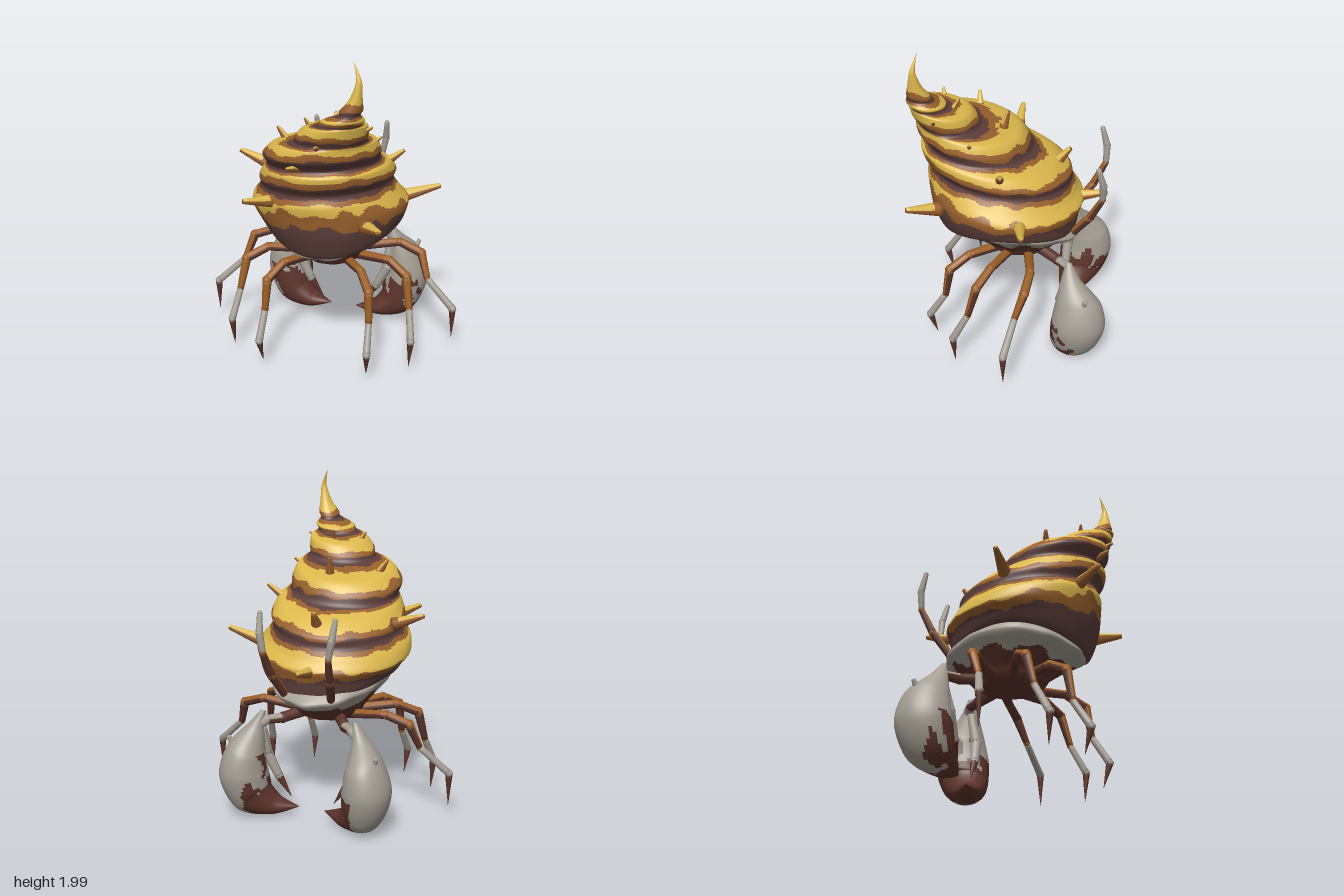
import * as THREE from 'three';

const mat = (name, color) => {
  const m = new THREE.MeshStandardMaterial({ color });
  m.name = name;
  return m;
};
const M = {
  yellow: mat('shell yellow', 0xdcb84c),
  brown: mat('shell brown', 0x98602c),
  dark: mat('groove dark brown', 0x5c3f3b),
  grey: mat('bone grey', 0xa39d92),
  maroon: mat('maroon', 0x5c342b),
  leg: mat('leg orange brown', 0x9a5e24),
};
const V = (x, y, z) => new THREE.Vector3(x, y, z);

// smooth wavy noise for irregular colour borders
const noise = (p, f = 1) =>
  0.5 * Math.sin(p.x * 13 * f + 2 * Math.sin(p.z * 9 * f)) * Math.sin(p.z * 15 * f + p.y * 8 * f) +
  0.3 * Math.sin(p.x * 31 * f + p.y * 24 * f) * Math.sin(p.z * 33 * f + 1);

// closed tube surface: pos(angle, t) -> point, pick(point, t) -> material index per face
function skin(name, nu, nv, pos, mats, pick) {
  const pts = [], groups = mats.map(() => []);
  for (let j = 0; j <= nv; j++)
    for (let i = 0; i < nu; i++) pts.push(pos((i / nu) * Math.PI * 2, j / nv));
  for (let j = 0; j < nv; j++)
    for (let i = 0; i < nu; i++) {
      const k = (i + 1) % nu, a = j * nu + i, b = j * nu + k, c = a + nu, d = b + nu;
      const mid = pts[a].clone().add(pts[d]).multiplyScalar(0.5);
      groups[pick(mid, (j + 0.5) / nv)].push(a, c, b, b, c, d);
    }
  const g = new THREE.BufferGeometry().setFromPoints(pts);
  g.setIndex(groups.flat());
  let start = 0;
  groups.forEach((f, i) => { g.addGroup(start, f.length, i); start += f.length; });
  g.computeVertexNormals();
  const mesh = new THREE.Mesh(g, mats);
  mesh.name = name;
  return mesh;
}

// smooth sampling of rows of numbers
function sample(rows, t) {
  const s = Math.min(t, 0.99999) * (rows.length - 1), i = Math.floor(s), f = s - i;
  const r = (k) => rows[Math.max(0, Math.min(rows.length - 1, k))];
  return r(i).map((b, n) => {
    const a = r(i - 1)[n], c = r(i + 1)[n], d = r(i + 2)[n];
    const m0 = (c - a) * 0.4, m1 = (d - b) * 0.4, f2 = f * f, f3 = f2 * f;
    return (2 * f3 - 3 * f2 + 1) * b + (f3 - 2 * f2 + f) * m0 + (3 * f2 - 2 * f3) * c + (f3 - f2) * m1;
  });
}

// ring rows: y, minX, maxX, minZ, maxZ, saddle, colour level
const ringPoint = (rows, a, t, tiltX, tiltZ) => {
  const [y, l, r, b, f, s] = sample(rows, t);
  const dx = (r - l) / 2 * Math.cos(a), dz = (f - b) / 2 * Math.sin(a);
  return V((l + r) / 2 + dx, y + tiltX * dx + tiltZ * dz + s * Math.cos(2 * a), (b + f) / 2 + dz);
};

const SHELL = [
  [0.87, -0.28, 0.30, -0.34, 0.36, 0.05, 0],
  [0.825, -0.37, 0.42, -0.38, 0.43, 0.05, 0],
  [0.92, -0.42, 0.46, -0.40, 0.49, 0.02, 0.35],
  [1.00, -0.46, 0.47, -0.42, 0.51, 0, 1.2],
  [1.07, -0.45, 0.42, -0.38, 0.52, 0, 1.75],
  [1.14, -0.40, 0.38, -0.345, 0.50, 0, 0],
  [1.20, -0.40, 0.40, -0.34, 0.54, 0, 0.8],
  [1.27, -0.36, 0.38, -0.25, 0.55, 0, 2],
  [1.315, -0.33, 0.33, -0.12, 0.52, 0, 0],
  [1.38, -0.34, 0.34, -0.09, 0.57, 0, 0.8],
  [1.45, -0.27, 0.32, -0.03, 0.57, 0, 2],
  [1.49, -0.13, 0.29, 0.17, 0.555, 0, 0],
  [1.54, -0.11, 0.30, 0.20, 0.58, 0, 0.9],
  [1.60, -0.05, 0.30, 0.24, 0.585, 0, 2],
  [1.625, 0.03, 0.28, 0.36, 0.575, 0, 0],
  [1.66, 0.06, 0.30, 0.37, 0.59, 0, 1.5],
  [1.70, 0.16, 0.28, 0.43, 0.575, 0, 0],
  [1.73, 0.17, 0.295, 0.44, 0.575, 0, 0.8],
  [1.80, 0.225, 0.295, 0.48, 0.56, 0, 1.6],
  [1.90, 0.26, 0.29, 0.51, 0.54, 0, 2],
  [2.00, 0.24, 0.24, 0.50, 0.50, 0, 2],
];
const BODY = [
  [0.56, 0, 0, -0.02, -0.02, 0, 0],
  [0.60, -0.17, 0.17, -0.22, 0.15, 0, 0],
  [0.67, -0.22, 0.22, -0.30, 0.21, 0, 0.1],
  [0.74, -0.29, 0.29, -0.40, 0.32, 0.02, 0.65],
  [0.80, -0.35, 0.36, -0.43, 0.41, 0.04, 1],
  [0.88, -0.30, 0.32, -0.36, 0.38, 0.05, 1],
];

// tapered round segment between two points, with its own underside colour
// and a share of its length at the base wholly in that colour
function segment(parent, name, a, b, ra, rb, top, under = top, base = 0) {
  const T = b.clone().sub(a).normalize();
  const B = T.clone().cross(Math.abs(T.y) > 0.95 ? V(0, 0, 1) : V(0, 1, 0)).normalize();
  const N = T.clone().cross(B);
  const rows = 10;
  const along = (t) => THREE.MathUtils.clamp((t - 1 / rows) / (1 - 2 / rows), 0, 1);
  parent.add(skin(name, 10, rows, (u, t) => {
    const r = t === 0 || t === 1 ? 0 : ra + (rb - ra) * along(t);
    return a.clone().lerp(b, along(t)).addScaledVector(N, r * Math.cos(u)).addScaledVector(B, r * Math.sin(u));
  }, [top, under], (p, t) => {
    const side = p.clone().sub(a.clone().lerp(b, along(t))).dot(N);
    return along(t) < base || side > -ra * 0.1 ? 1 : 0;
  }));
}
function limb(name, points, radii, mats, under) {
  const g = new THREE.Group();
  g.name = name;
  points.slice(1).forEach((p, i) => {
    segment(g, name + 'Segment', points[i], p, radii[i], radii[i + 1], mats[i], under[i]);
    if (radii[i + 1] < 0.01) return;
    const joint = new THREE.Mesh(new THREE.SphereGeometry(radii[i + 1] * 1.08, 8, 6), mats[i]);
    joint.position.copy(p);
    joint.name = name + 'Joint';
    g.add(joint);
  });
  return g;
}

// crescent claw, swept through rows: x, y, z, radius in plane, radius in z
const CLAW = [
  [0.29, 0.67, -0.36, 0.012, 0.015],
  [0.33, 0.57, -0.38, 0.05, 0.06],
  [0.375, 0.44, -0.43, 0.11, 0.135],
  [0.395, 0.29, -0.435, 0.142, 0.165],
  [0.35, 0.14, -0.41, 0.125, 0.145],
  [0.23, 0.07, -0.36, 0.06, 0.085],
  [0.08, 0.065, -0.32, 0, 0],
];
function claw(s) {
  const g = new THREE.Group();
  g.name = s > 0 ? 'leftClaw' : 'rightClaw';
  const at = (t) => { const r = sample(CLAW, t); return V(r[0] * s, r[1], 0); };
  g.add(skin('clawPalm', 48, 80, (a, t) => {
    const r = sample(CLAW, t);
    const T = at(Math.min(1, t + 0.01)).sub(at(Math.max(0, t - 0.01))).normalize();
    const N = T.cross(V(0, 0, 1));
    return V(r[0] * s, r[1], r[2])
      .addScaledVector(N, r[3] * Math.cos(a)).add(V(0, 0, r[4] * Math.sin(a)));
  }, [M.grey, M.maroon], (p, t) => {
    const n = noise(p, 1.6) * 0.14, x = Math.abs(p.x);
    return t + n > 0.77 || (p.z + n > -0.34 && p.y + n < 0.31) || (x + n < 0.28 && p.y < 0.42) ? 1 : 0;
  }));
  // thin movable finger, arm and knob
  g.add(limb('clawFinger', [V(s * 0.30, 0.57, -0.36), V(s * 0.29, 0.38, -0.32), V(s * 0.22, 0.24, -0.31), V(s * 0.14, 0.12, -0.31)],
    [0.025, 0.034, 0.026, 0.002], [M.grey, M.grey, M.maroon], []));
  g.add(limb('clawArm', [V(s * 0.1, 0.63, -0.15), V(s * 0.2, 0.61, -0.29), V(s * 0.27, 0.61, -0.36), V(s * 0.33, 0.57, -0.38)],
    [0.036, 0.032, 0.028, 0.035], [M.maroon, M.grey, M.grey], [M.maroon, M.maroon]));
  segment(g, 'clawKnob', V(s * 0.44, 0.46, -0.46), V(s * 0.47, 0.52, -0.48), 0.022, 0.012, M.grey);
  return g;
}

export function createModel() {
  const root = new THREE.Group();
  root.name = 'hermitCrab';

  // shell of stacked, leaning whorls; the rim itself is level
  const shellPoint = (a, t) => {
    const lean = THREE.MathUtils.smoothstep(t, 0.04, 0.2);
    return ringPoint(SHELL, a, t, 0.03 + 0.04 * lean, 0.125 * lean);
  };
  root.add(skin('shell', 160, 220, shellPoint, [M.yellow, M.brown, M.dark], (p, t) => {
    const s = t * (SHELL.length - 1), i = Math.floor(s);
    const from = SHELL[i][6], to = SHELL[i + 1][6];
    const f = to < from ? (s - i) ** 1.4 : s - i;
    // the sheltered front carries more brown
    const front = p.y < 1.5 ? THREE.MathUtils.smoothstep(p.z, 0.1, 0.45) * 0.3 : 0;
    const level = from + (to - from) * f + 0.45 * noise(p) - front;
    return level < 0.55 ? 2 : level < 1.2 ? 1 : 0;
  }));

  // shell spikes: base, tip, base radius
  const spikes = new THREE.Group();
  spikes.name = 'shellSpikes';
  [
    [-0.38, 1.17, 0.02, -0.57, 1.24, 0.01, 0.04], [0.38, 0.99, -0.07, 0.64, 1.08, -0.11, 0.045],
    [0.32, 1.25, 0.05, 0.44, 1.34, 0.03, 0.032], [-0.23, 1.11, 0.41, -0.37, 1.16, 0.57, 0.042],
    [0.29, 1.00, 0.40, 0.41, 1.06, 0.58, 0.045], [-0.02, 0.94, -0.36, -0.02, 0.98, -0.56, 0.04],
    [-0.01, 1.17, -0.24, -0.02, 1.28, -0.33, 0.04], [0.04, 1.43, 0.06, 0.03, 1.54, 0.03, 0.028],
    [-0.20, 1.41, 0.23, -0.26, 1.50, 0.24, 0.028], [0.13, 1.58, 0.34, 0.12, 1.65, 0.30, 0.02],
    [-0.02, 1.58, 0.41, -0.05, 1.63, 0.42, 0.018], [0.27, 1.42, 0.23, 0.34, 1.48, 0.21, 0.022],
    [-0.06, 1.36, 0.49, -0.11, 1.39, 0.59, 0.026], [0.05, 1.50, 0.53, 0.05, 1.53, 0.60, 0.02],
    [0.27, 1.57, 0.42, 0.33, 1.61, 0.42, 0.018],
  ].forEach(([a, b, c, d, e, f, r]) =>
    segment(spikes, 'spike', V(a, b, c), V(d, e, f), r, r * 0.35, M.yellow, M.brown, 0.3));
  root.add(spikes);

  // pale shell lip and dark underside
  root.add(skin('lipAndBody', 96, 60, (a, t) => {
    const p = ringPoint(BODY, a, t, 0, 0);
    const bump = 1 + 0.025 * Math.sin(a * 11) * Math.sin(Math.PI * t);
    return V(p.x * bump, p.y, p.z * bump);
  }, [M.grey, M.maroon], (p, t) => (sample(BODY, t)[6] + 0.5 * noise(p) > 0.5 ? 0 : 1)));

  // three pairs of walking legs: hip, mid, knee, ankle, shin, tip
  const legs = {
    backLeg: [[0.13, 0.62, -0.1], [0.40, 0.66, -0.14], [0.54, 0.61, -0.12], [0.59, 0.46, -0.07], [0.76, 0.30, -0.02], [0.76, 0.10, -0.02]],
    middleLeg: [[0.13, 0.62, 0], [0.38, 0.65, 0.1], [0.50, 0.59, 0.17], [0.53, 0.40, 0.22], [0.56, 0.23, 0.31], [0.55, 0.05, 0.3]],
    frontLeg: [[0.11, 0.62, 0.08], [0.24, 0.63, 0.25], [0.31, 0.56, 0.36], [0.32, 0.37, 0.39], [0.33, 0.21, 0.49], [0.32, 0.06, 0.45]],
  };
  for (const s of [1, -1]) {
    for (const [name, pts] of Object.entries(legs))
      root.add(limb(name, pts.map(([x, y, z]) => V(x * s, y, z)),
        [0.03, 0.026, 0.028, 0.02, 0.023, 0.001], [M.leg, M.leg, M.leg, M.grey, M.maroon], [M.maroon, M.maroon, M.maroon]));
    // upright feelers beside the face
    root.add(limb('feeler', [V(s * 0.14, 0.76, -0.35), V(s * 0.18, 0.93, -0.47), V(s * 0.20, 1.08, -0.54), V(s * 0.22, 1.19, -0.54), V(s * 0.23, 1.30, -0.51)],
      [0.025, 0.024, 0.018, 0.022, 0.015], [M.leg, M.leg, M.grey, M.grey], [M.maroon, M.maroon]));
    root.add(claw(s));
  }
  return root;
}
